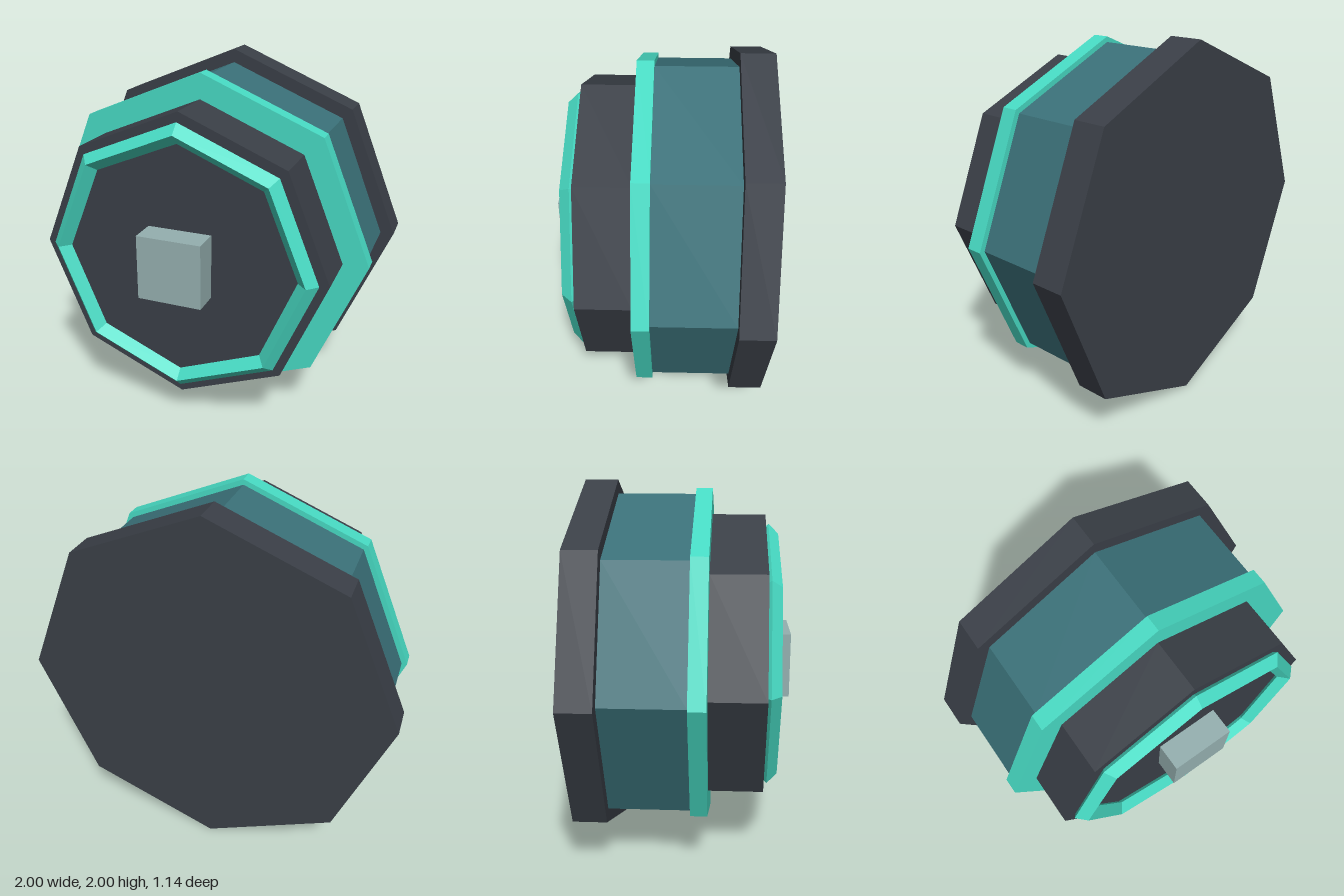
import * as THREE from 'three';

const flat = (name, color) => {
  const m = new THREE.MeshStandardMaterial({ color, flatShading: true });
  m.name = name;
  return m;
};

export function createModel() {
  const charcoal = flat('charcoal', 0x3a3f47);
  const teal = flat('teal', 0x47dac3);
  const deepTeal = flat('deepTeal', 0x3a7078);
  const paleGrey = flat('paleGrey', 0x95b0b0);

  const group = new THREE.Group();
  group.name = 'octagonalButton';

  const add = (name, geometry, material, z) => {
    const mesh = new THREE.Mesh(geometry, material);
    mesh.name = name;
    mesh.position.set(0, 1, z);
    group.add(mesh);
  };

  // Stacked octagonal discs along z: name, radius, back, front, material
  const discs = [
    ['backPlate', 1, -0.57, -0.39, charcoal],
    ['body', 0.925, -0.39, 0.04, deepTeal],
    ['collar', 0.955, 0.04, 0.13, teal],
    ['frontStep', 0.815, 0.13, 0.42, charcoal],
  ];
  for (const [name, radius, back, front, material] of discs) {
    const geometry = new THREE.CylinderGeometry(radius, radius, front - back, 8);
    geometry.rotateX(Math.PI / 2);
    add(name, geometry, material, (back + front) / 2);
  }

  // Faceted ring half sunk into the front face
  add('frontRing', new THREE.TorusGeometry(0.71, 0.055, 4, 8), teal, 0.438);

  // Square stud in the middle of the face
  add('centreStud', new THREE.BoxGeometry(0.36, 0.36, 0.16), paleGrey, 0.49);

  return group;
}
